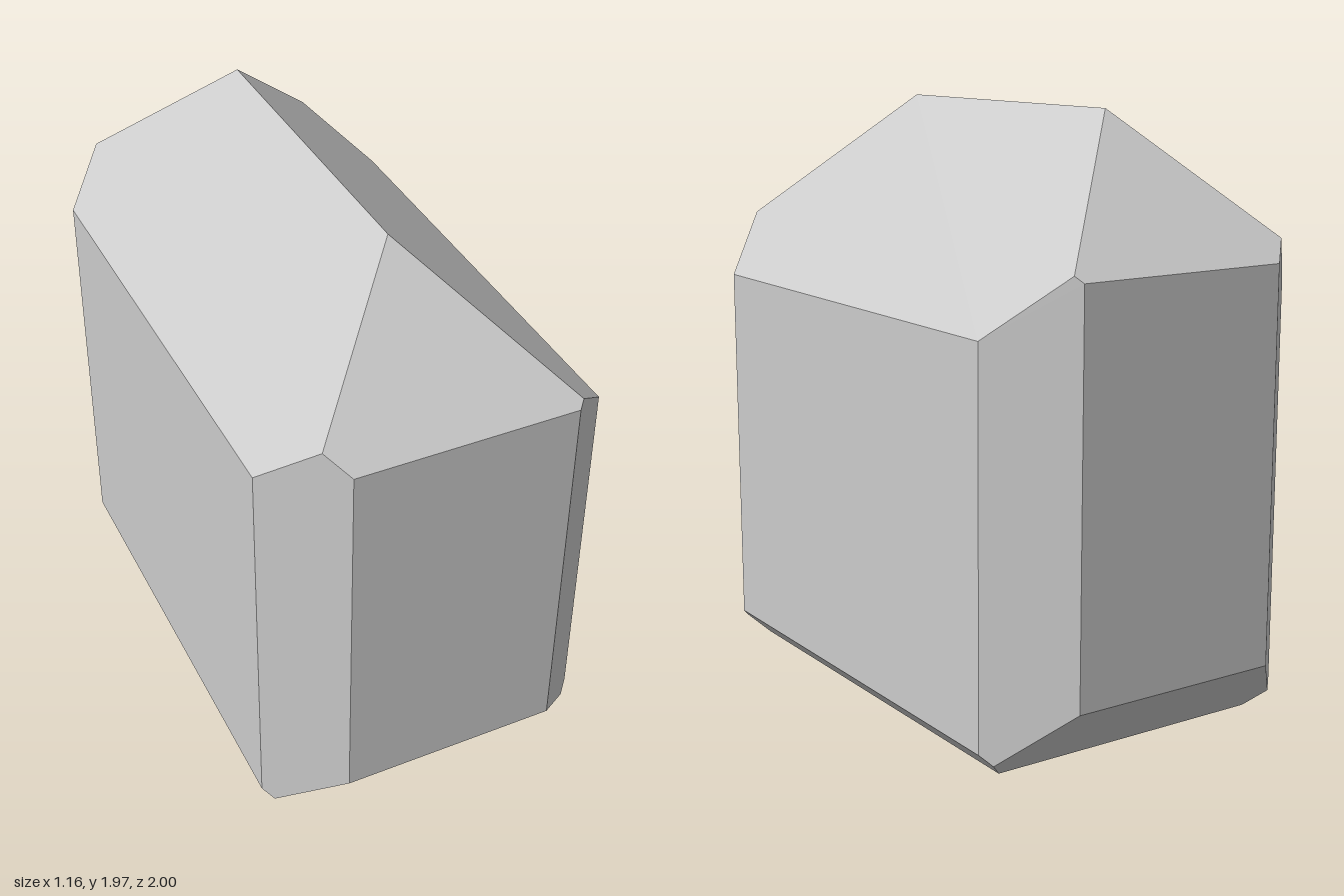
import * as THREE from 'three';
import { ConvexGeometry } from 'three/addons/geometries/ConvexGeometry.js';

// Faceted block: bevelled corners and base, hipped roof with an off-centre ridge.
export function createModel() {
  const halfX = 0.578, halfZ = 1;   // side and end walls
  const corner = 1.364;             // corner bevel: |x| + |z|
  const baseX = 0.488, baseZ = 0.76; // footprint on the ground, bevelled at 45 degrees
  const hip = 2.515;                // end roof slopes: y + |z|
  const points = [];

  for (const sx of [1, -1]) {
    const roof = sx > 0 ? 1.92 : 2.01; // side roof slope: y + |x|
    for (const sz of [1, -1]) {
      const add = (x, y, z) => points.push(new THREE.Vector3(sx * x, y, sz * z));

      // base corner and the points where its bevels meet the walls
      const rise = (corner - baseX - baseZ) / 2;
      add(baseX, 0, baseZ);
      add(baseX + rise, rise, baseZ + rise);
      add(halfX, halfX - baseX, corner - halfX);
      add(corner - halfZ, halfZ - baseZ, halfZ);

      // eaves along the side wall, the end wall and the corner bevel
      const x = (corner + roof - hip) / 2;
      add(halfX, roof - halfX, corner - halfX);
      add(corner - halfZ, hip - halfZ, halfZ);
      add(x, roof - x, corner - x);
    }
  }

  // roof ridge
  for (const sz of [1, -1]) points.push(new THREE.Vector3(-0.045, 1.965, sz * 0.55));

  const block = new THREE.Mesh(
    new ConvexGeometry(points),
    new THREE.MeshStandardMaterial({ color: 0xcccccc, flatShading: true })
  );
  block.name = 'facetedBlock';

  const group = new THREE.Group();
  group.name = 'crystalBlock';
  group.add(block);
  return group;
}
